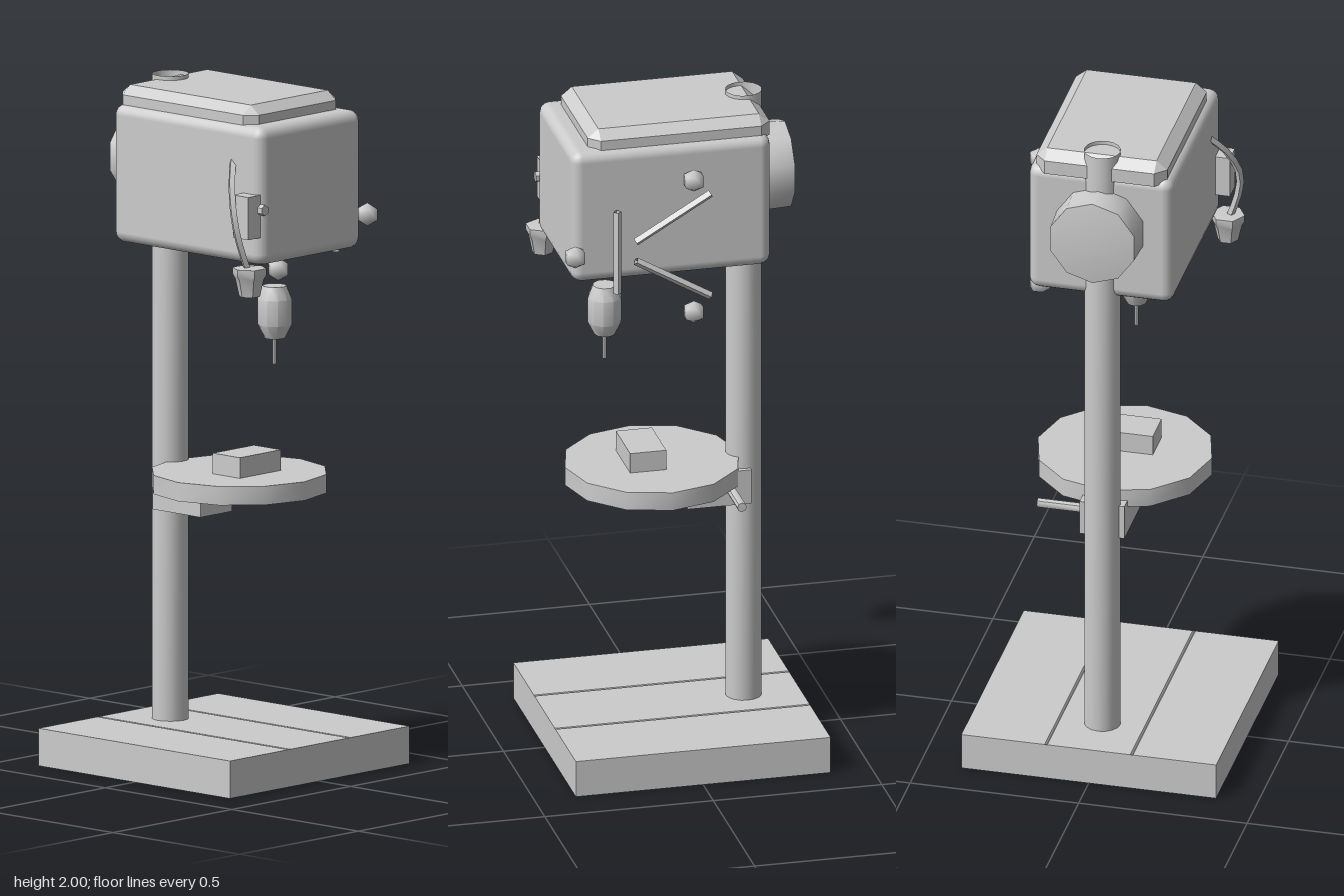
import * as THREE from 'three';
import { toCreasedNormals } from 'three/addons/utils/BufferGeometryUtils.js';
import { RoundedBoxGeometry } from 'three/addons/geometries/RoundedBoxGeometry.js';
import { ConvexGeometry } from 'three/addons/geometries/ConvexGeometry.js';

export function createModel() {
  const group = new THREE.Group();
  const metal = new THREE.MeshStandardMaterial({ color: 0xcccccc, side: THREE.DoubleSide });
  metal.name = 'light grey metal';
  const V = (x, y, z) => new THREE.Vector3(x, y, z);

  function add(name, geometry, x = 0, y = 0, z = 0, crease = 0.7) {
    const mesh = new THREE.Mesh(crease ? toCreasedNormals(geometry, crease) : geometry, metal);
    mesh.name = name;
    mesh.position.set(x, y, z);
    group.add(mesh);
    return mesh;
  }

  // Box given by its min and max corners
  function box(name, x0, x1, y0, y1, z0, z1) {
    return add(name, new THREE.BoxGeometry(x1 - x0, y1 - y0, z1 - z0),
      (x0 + x1) / 2, (y0 + y1) / 2, (z0 + z1) / 2);
  }

  // Straight rod between two points
  function rod(name, a, b, radius, sides, open) {
    const g = new THREE.CylinderGeometry(radius, radius, a.distanceTo(b), sides, 1, open);
    const mesh = add(name, g, 0, 0, 0, 0.9);
    mesh.position.copy(a).add(b).multiplyScalar(0.5);
    mesh.quaternion.setFromUnitVectors(V(0, 1, 0), b.clone().sub(a).normalize());
    return mesh;
  }

  // Hollow base: folded sheet with two shallow grooves, open underneath
  const half = 0.378, top = 0.11;
  const profile = [[-half, 0], [-half, top]];
  for (const gx of [-0.127, 0.127]) profile.push([gx - 0.004, top], [gx, top - 0.006], [gx + 0.004, top]);
  profile.push([half, top], [half, 0]);
  const sheet = new THREE.PlaneGeometry(1, 1, profile.length - 1, 1);
  const pos = sheet.attributes.position;
  for (let i = 0; i < pos.count; i++) {
    const [px, py] = profile[i % profile.length];
    pos.setXYZ(i, px, py, i < profile.length ? -half : half);
  }
  add('baseTop', sheet, 0, 0, 0, 0.4);
  for (const s of [1, -1]) {
    const wall = add('baseWall', new THREE.PlaneGeometry(2 * half, top), 0, top / 2, s * half);
    if (s < 0) wall.rotation.y = Math.PI;
  }

  // Hollow column
  add('column', new THREE.CylinderGeometry(0.053, 0.053, 1.93, 16, 1, true), 0, 1.035, -0.212);

  // Work table, clamp bracket, handle and workpiece
  add('table', new THREE.CylinderGeometry(0.258, 0.258, 0.055, 12), 0, 0.842, 0.06);
  box('workpiece', -0.088, 0.086, 0.865, 0.93, 0.038, 0.145);
  box('tableBracket', -0.067, 0.066, 0.73, 0.835, -0.22, -0.03);
  rod('tableHandle', V(0.05, 0.78, -0.158), V(0.205, 0.78, -0.158), 0.014, 8, false);

  // Rounded head
  add('head', new RoundedBoxGeometry(0.43, 0.405, 0.592, 2, 0.032), 0, 1.733, 0.052, 0);

  // Chamfered cover on the head
  const pts = [], w = 0.194, z0 = -0.25, z1 = 0.29, c = 0.032;
  for (const sx of [1, -1]) {
    for (const [z, s] of [[z0, 1], [z1, -1]]) {
      for (const y of [1.92, 1.962]) pts.push(V(sx * (w - c), y, z), V(sx * w, y, z + s * c));
      pts.push(V(sx * (w - c), 1.988, z + s * c));
    }
  }
  add('headCover', new ConvexGeometry(pts), 0, 0, 0, 0.3);

  // Motor at the back, with a slightly pointed end
  const motor = [[0.135, 0], [0.13, 0.105], [0, 0.123]].map(p => new THREE.Vector2(...p));
  add('motor', new THREE.LatheGeometry(motor, 10), 0, 1.757, -0.23).rotation.x = -Math.PI / 2;

  // Chuck and drill bit
  const chuck = [[0, 0], [0.03, 0], [0.05, 0.04], [0.05, 0.115], [0.035, 0.153], [0, 0.153]]
    .map(p => new THREE.Vector2(...p));
  add('chuck', new THREE.LatheGeometry(chuck, 10), 0, 1.277, 0.2);
  rod('drillBit', V(0, 1.2, 0.2), V(0, 1.3, 0.2), 0.006, 6, false);

  // Feed levers and their knobs
  const lx = 0.236;
  const levers = [[1.5, 0.22, 1.755, 0.22], [1.655, 0.165, 1.785, -0.057], [1.595, 0.165, 1.465, -0.057]];
  for (const [ya, za, yb, zb] of levers) rod('feedLever', V(lx, ya, za), V(lx, yb, zb), 0.012, 4, true);
  for (const [y, z] of [[1.83, -0.007], [1.625, 0.345], [1.42, -0.007]]) {
    add('leverKnob', new THREE.SphereGeometry(0.034, 6, 3), lx, y, z, 0);
  }

  // Switch box, button, cable and plug
  box('switchBox', -0.258, -0.2, 1.615, 1.74, 0.277, 0.338);
  rod('switchButton', V(-0.206, 1.697, 0.33), V(-0.206, 1.697, 0.356), 0.016, 6, false);
  const cable = new THREE.CatmullRomCurve3([V(-0.2, 1.835, 0.225), V(-0.25, 1.77, 0.265),
    V(-0.281, 1.68, 0.303), V(-0.272, 1.6, 0.317), V(-0.245, 1.52, 0.325)]);
  add('cable', new THREE.TubeGeometry(cable, 8, 0.011, 4), 0, 0, 0, 0.9);
  const plug = [[0, 0], [0.031, 0], [0.042, 0.05], [0.05, 0.063], [0.05, 0.083], [0, 0.087]]
    .map(p => new THREE.Vector2(...p));
  add('plug', new THREE.LatheGeometry(plug, 6), -0.24, 1.447, 0.326, 0.5).rotation.y = Math.PI / 6;

  return group;
}
